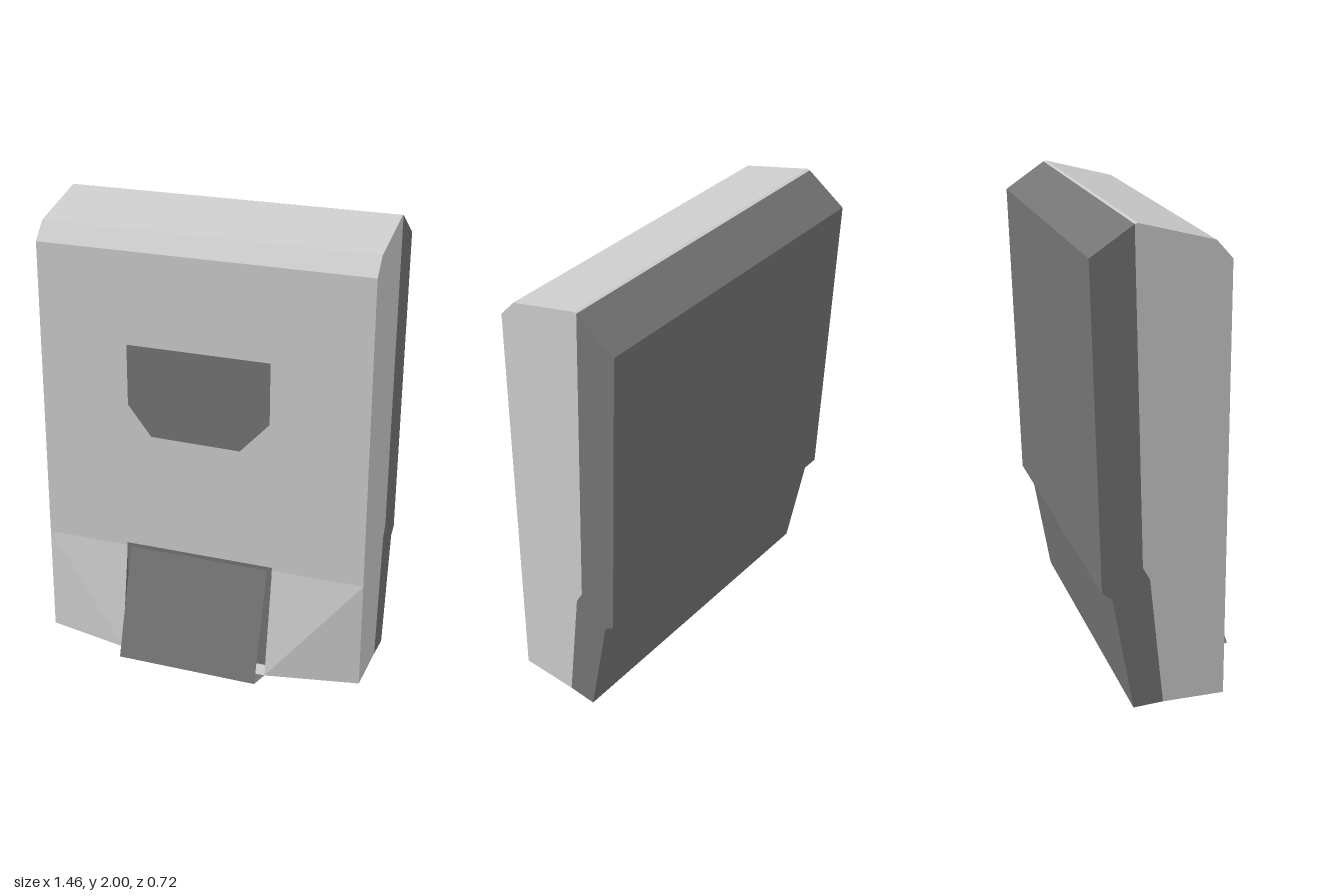
import * as THREE from 'three';

const W = 0.73; // half width of the housing
const shade = (color) => new THREE.MeshStandardMaterial({ color, flatShading: true, side: THREE.DoubleSide });
const light = shade(0xcccccc);
const dark = shade(0x747474);

function add(group, name, geometry, material) {
  const mesh = new THREE.Mesh(geometry, material);
  mesh.name = name;
  group.add(mesh);
  return mesh;
}

// Extrudes a side profile of [z, y] points across the full width
function acrossWidth(profile) {
  const shape = new THREE.Shape(profile.map(([z, y]) => new THREE.Vector2(-z, y)));
  const geometry = new THREE.ExtrudeGeometry(shape, { depth: 2 * W, bevelEnabled: false });
  return geometry.rotateY(Math.PI / 2).translate(-W, 0, 0);
}

// Flat convex sheet through the given corners, counter-clockwise from outside
function sheet(corners) {
  const geometry = new THREE.BufferGeometry().setFromPoints(corners.map((p) => new THREE.Vector3(...p)));
  const index = [];
  for (let i = 1; i < corners.length - 1; i++) index.push(0, i, i + 1);
  geometry.setIndex(index);
  geometry.computeVertexNormals();
  return geometry;
}

// Horizontal sheet facing down, from [x, z] corners
const floor = (y, points) => sheet(points.map(([x, z]) => [x, y, z]));

export function createModel() {
  const model = new THREE.Group();
  model.name = 'wallDispenser';

  // Main cover with sloped top and chamfered front edge
  add(model, 'cover', acrossWidth([
    [0.197, 0.01], [0.197, 1.845], [0.13, 1.92], [-0.175, 2], [-0.188, 1.997],
    [-0.152, 0.62], [-0.122, 0.565], [-0.064, 0.008],
  ]), light);

  // Darker back plate, stepped in near the bottom
  add(model, 'backPlate', acrossWidth([
    [-0.188, 1.997], [-0.362, 1.88], [-0.32, 0.53], [-0.278, 0.5],
    [-0.19, 0], [-0.064, 0.008], [-0.122, 0.565], [-0.152, 0.62],
  ]), dark);

  // Level window set flush in the front
  const pane = new THREE.Shape([
    [-0.33, 1.44], [-0.33, 1.17], [-0.225, 1.035], [0.175, 1.03], [0.305, 1.17], [0.305, 1.44],
  ].map(([x, y]) => new THREE.Vector2(x, y)));
  add(model, 'window', new THREE.ShapeGeometry(pane), dark).position.z = 0.2;

  // Flared lower front on each side of the outlet, with its inner cheek
  for (const [side, outer, inner] of [['left', W, 0.325], ['right', -W, -0.35]]) {
    const flare = [
      [outer, 0.49, 0.197], [inner, 0.49, 0.197], [inner, 0.01, 0.28], [outer, 0.01, 0.197],
    ];
    if (outer < 0) flare.push(...flare.splice(0, 4).map((_, i, all) => all[(4 - i) % 4]));
    add(model, side + 'Flare', sheet(flare), light);
    add(model, side + 'Cheek', sheet([
      [inner, 0.49, 0.197], [inner, 0.01, 0.197], [inner, 0.01, 0.28],
    ]), dark);
  }

  // Outlet: recess behind, sloping push panel in front
  add(model, 'outletRecess', sheet([
    [-0.35, 0.01, 0.2], [0.325, 0.01, 0.2], [0.325, 0.505, 0.2], [-0.35, 0.505, 0.2],
  ]), dark);
  add(model, 'pushPanel', sheet([
    [-0.33, 0.01, 0.36], [0.305, 0.01, 0.36], [0.305, 0.49, 0.205], [-0.33, 0.49, 0.205],
  ]), dark);

  // Underside: flare floor, outlet lip and outlet slot
  add(model, 'flareFloor', floor(0.01, [[-W, 0.197], [W, 0.197], [0.325, 0.28], [-0.35, 0.28]]), light);
  add(model, 'outletLip', floor(0.01, [[-0.35, 0.28], [0.325, 0.28], [0.305, 0.36], [-0.33, 0.36]]), dark);
  add(model, 'outletSlot', floor(0.008, [[-0.16, 0.3], [0.135, 0.3], [0.135, 0.325], [-0.16, 0.325]]), light);

  return model;
}
